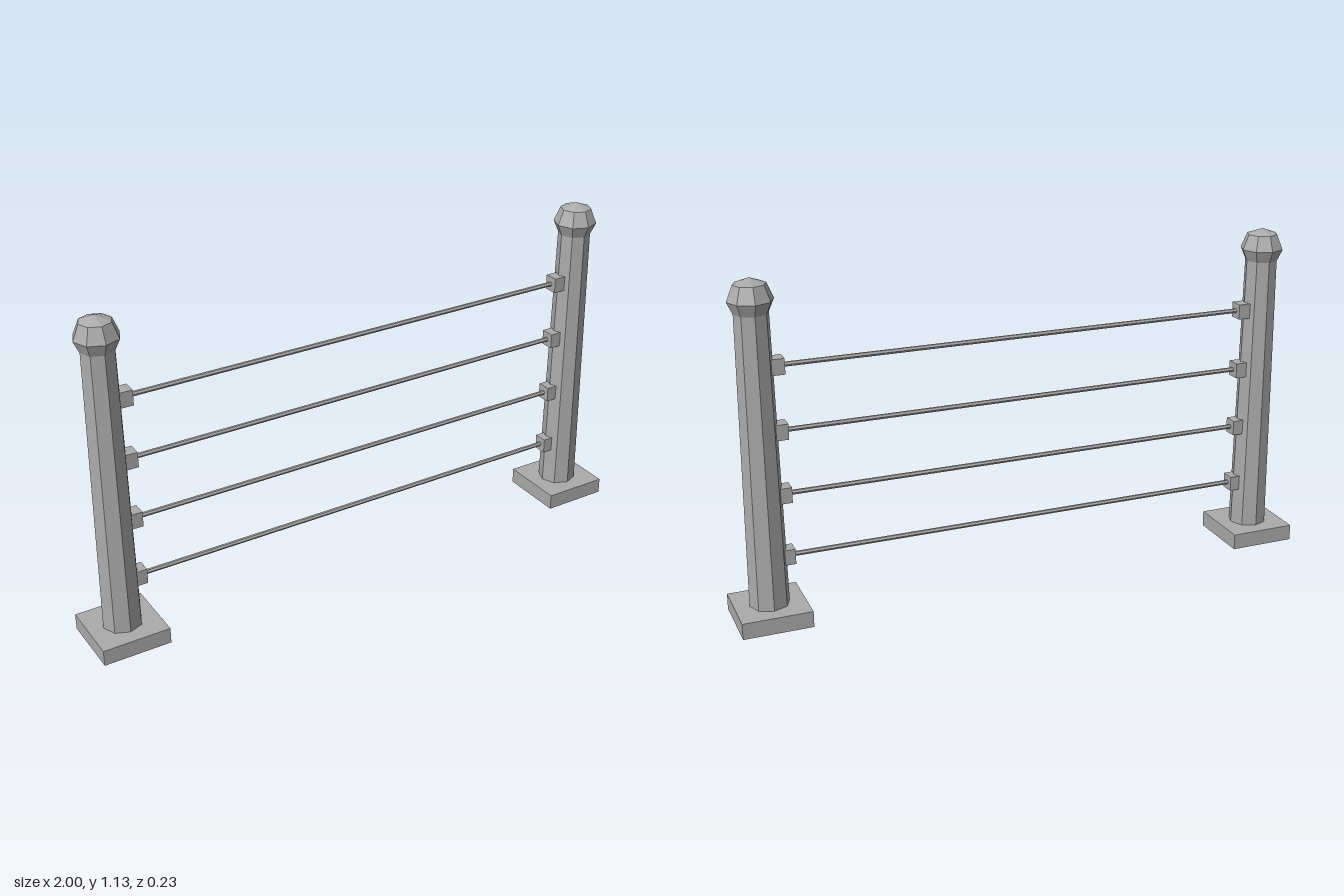
import * as THREE from 'three';

export function createModel() {
  const model = new THREE.Group();
  model.name = 'railFence';
  const grey = new THREE.MeshStandardMaterial({ color: 0xaaaaaa, flatShading: true });
  grey.name = 'stoneGrey';

  const add = (parent, name, geometry, x, y) => {
    const mesh = new THREE.Mesh(geometry, grey);
    mesh.name = name;
    mesh.position.set(x, y, 0);
    parent.add(mesh);
    return mesh;
  };

  const postX = 0.885;
  const railHeights = [0.213, 0.426, 0.639, 0.852];

  // Tapered octagonal post with a flared, pointed cap
  const profile = [[0.066, 0.05], [0.055, 1.025], [0.073, 1.065], [0.052, 1.116], [0, 1.135]]
    .map(([r, y]) => new THREE.Vector2(r, y));
  const postGeometry = new THREE.LatheGeometry(profile, 8);
  const baseGeometry = new THREE.BoxGeometry(0.23, 0.055, 0.23);
  const bracketGeometry = new THREE.BoxGeometry(0.042, 0.052, 0.048);

  // Two end posts, each with a square base and rail brackets
  for (const side of [-1, 1]) {
    const post = new THREE.Group();
    post.name = side > 0 ? 'leftPost' : 'rightPost';
    model.add(post);
    add(post, 'postBase', baseGeometry, side * postX, 0.0275);
    add(post, 'postShaft', postGeometry, side * postX, 0);
    for (const y of railHeights) add(post, 'railBracket', bracketGeometry, side * 0.817, y);
  }

  // Thin horizontal rails between the brackets
  const railGeometry = new THREE.CylinderGeometry(0.008, 0.008, 1.62, 6);
  railGeometry.rotateZ(Math.PI / 2);
  for (const y of railHeights) add(model, 'rail', railGeometry, 0, y);

  return model;
}
